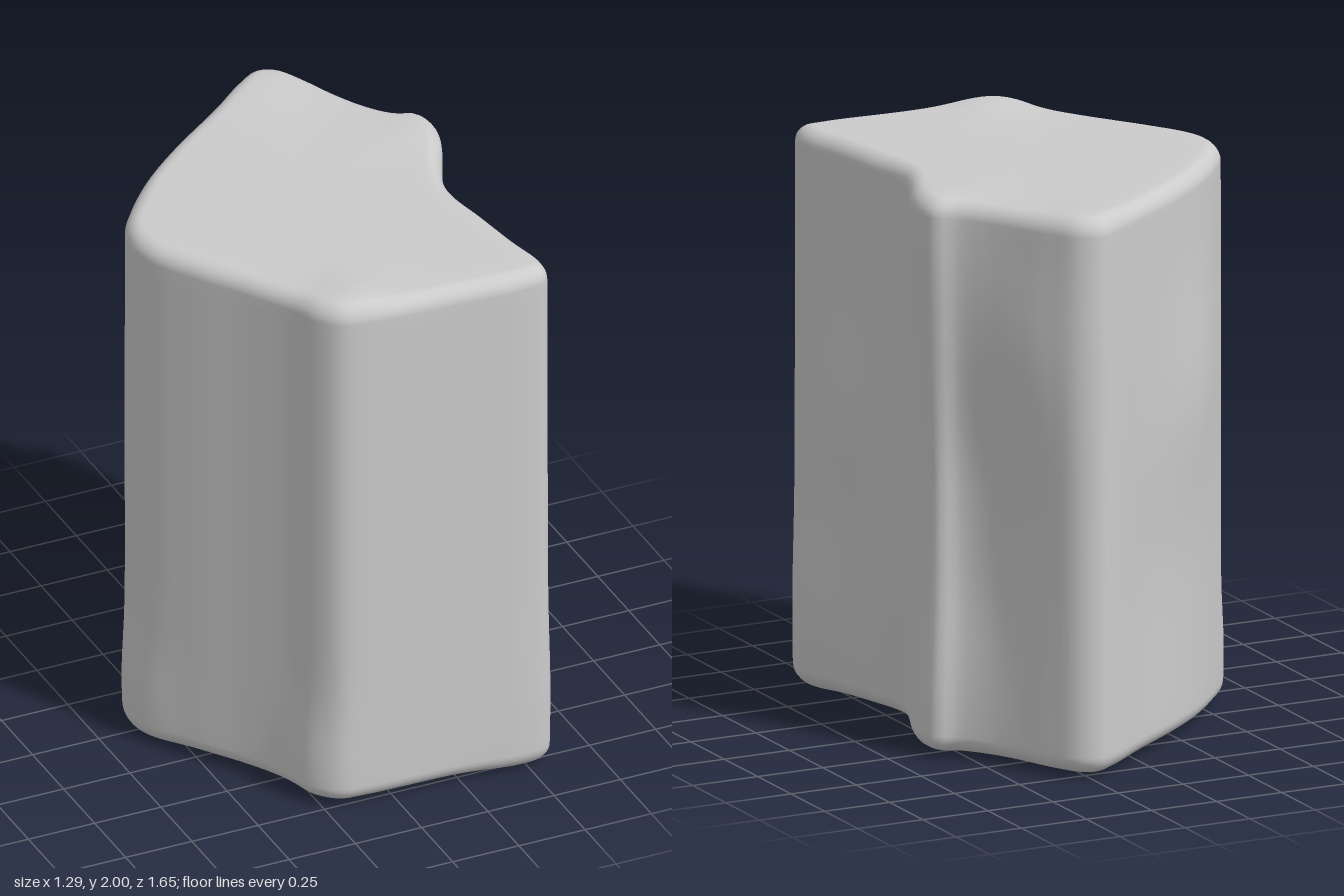
import * as THREE from 'three';

// Plan outline of the rock pillar as x, z pairs, clockwise seen from above
const OUTLINE = [
  [0.22, -0.83], [0.30, -0.8], [0.36, -0.70], [0.42, -0.57], [0.48, -0.46], [0.55, -0.365],
  [0.605, -0.33], [0.62, -0.25], [0.60, -0.15], [0.55, -0.02], [0.51, 0.1], [0.505, 0.2],
  [0.53, 0.35], [0.56, 0.55], [0.59, 0.72], [0.57, 0.79], [0.48, 0.81], [0.2, 0.80],
  [-0.12, 0.79], [-0.2, 0.77], [-0.26, 0.70], [-0.3, 0.60], [-0.4, 0.43], [-0.52, 0.25],
  [-0.605, 0.1], [-0.625, 0.0], [-0.605, -0.1], [-0.54, -0.2], [-0.41, -0.35], [-0.24, -0.5],
  [0, -0.68], [0.13, -0.78],
];

// Soft dents and swellings on the sides: x, y, z, radius, push along the normal
const SIDE_BUMPS = [
  [0.62, 1.88, -0.25, 0.18, 0.02], [0.62, 0.1, -0.25, 0.16, 0.01],
  [0.44, 1.5, -0.6, 0.22, 0.03], [0.5, 0.6, -0.42, 0.18, -0.03], [0.5, 1.0, -0.42, 0.18, -0.025],
  [0.58, 0.25, 0.55, 0.22, 0.03], [0.56, 1.0, 0.45, 0.2, 0.02],
  [0.52, 0.5, 0.1, 0.2, 0.015], [-0.62, 0.17, 0, 0.13, 0.02],
  [-0.28, 0.12, 0.68, 0.13, 0.025], [-0.33, 1.2, -0.43, 0.22, 0.03], [-0.1, 0.6, -0.6, 0.25, -0.015],
];

// Swellings of the ends: x, z, radius, height
const TOP_BUMPS = [[-0.12, 0.68, 0.13, 0.022], [0.22, -0.72, 0.14, 0.015], [0.55, -0.25, 0.12, 0.01]];
const BOTTOM_BUMPS = [[-0.52, 0.02, 0.15, 0.02], [0.5, 0.7, 0.15, 0.02], [0.2, -0.6, 0.15, 0.01]];

const falloff = (d2, r) => Math.exp(-d2 / (r * r));
const endBump = (list, x, z) =>
  list.reduce((s, [bx, bz, r, h]) => s + h * falloff((x - bx) ** 2 + (z - bz) ** 2, r), 0);

function createPillarGeometry() {
  const N = 180, LOW = 0.02, HIGH = 1.978, R = 0.06;
  const curve = new THREE.CatmullRomCurve3(OUTLINE.map(([x, z]) => new THREE.Vector3(x, 0, z)), true);
  const points = curve.getSpacedPoints(N).slice(0, N);
  // Outward normals, averaged over neighbours so that the inset stays clean
  const normals = points.map((_, i) => {
    const t = points[(i + 3) % N].clone().sub(points[(i + N - 3) % N]).normalize();
    return new THREE.Vector3(t.z, 0, -t.x);
  });

  // Ring profile from bottom centre to top centre: inset, height, scale
  const rings = [];
  const caps = [0.05, 0.2, 0.4, 0.6, 0.75, 0.86, 0.94];
  const arc = 7, sides = 40;
  caps.forEach((s) => rings.push([R, LOW, s]));
  for (let k = 0; k <= arc; k++) {
    const a = (k / arc) * Math.PI / 2;
    rings.push([R * (1 - Math.sin(a)), LOW + R * (1 - Math.cos(a)), 1]);
  }
  for (let k = 1; k < sides; k++) rings.push([0, LOW + R + (HIGH - LOW - 2 * R) * k / sides, 1]);
  for (let k = arc; k >= 0; k--) {
    const a = (k / arc) * Math.PI / 2;
    rings.push([R * (1 - Math.sin(a)), HIGH - R * (1 - Math.cos(a)), 1]);
  }
  [...caps].reverse().forEach((s) => rings.push([R, HIGH, s]));

  const position = [], index = [];
  for (const [inset, y, scale] of rings) {
    points.forEach((p, i) => {
      let push = -inset;
      for (const [bx, by, bz, r, h] of SIDE_BUMPS) {
        const d2 = (p.x - bx) ** 2 + ((y - by) * 0.6) ** 2 + (p.z - bz) ** 2;
        push += h * falloff(d2, r);
      }
      const x = (p.x + normals[i].x * push) * scale;
      const z = (p.z + normals[i].z * push) * scale;
      const up = THREE.MathUtils.smoothstep(y, 1.8, HIGH) * endBump(TOP_BUMPS, x, z);
      const down = (1 - THREE.MathUtils.smoothstep(y, LOW, 0.2)) * endBump(BOTTOM_BUMPS, x, z);
      position.push(x, y + up - down, z);
    });
  }
  for (let j = 0; j < rings.length - 1; j++) {
    for (let i = 0; i < N; i++) {
      const a = j * N + i, b = j * N + (i + 1) % N;
      index.push(a, a + N, b, b, a + N, b + N);
    }
  }
  // Close both ends with a centre point
  const bottom = position.length / 3, top = bottom + 1, last = (rings.length - 1) * N;
  position.push(0, LOW, 0, 0, HIGH, 0);
  for (let i = 0; i < N; i++) {
    const n = (i + 1) % N;
    index.push(bottom, i, n, top, last + n, last + i);
  }

  const geometry = new THREE.BufferGeometry();
  geometry.setAttribute('position', new THREE.Float32BufferAttribute(position, 3));
  geometry.setIndex(index);
  geometry.computeVertexNormals();
  return geometry;
}

export function createModel() {
  const group = new THREE.Group();
  group.name = 'rock';
  const pillar = new THREE.Mesh(createPillarGeometry(), new THREE.MeshStandardMaterial({ color: 0xcccccc }));
  pillar.name = 'rockPillar';
  group.add(pillar);
  return group;
}
